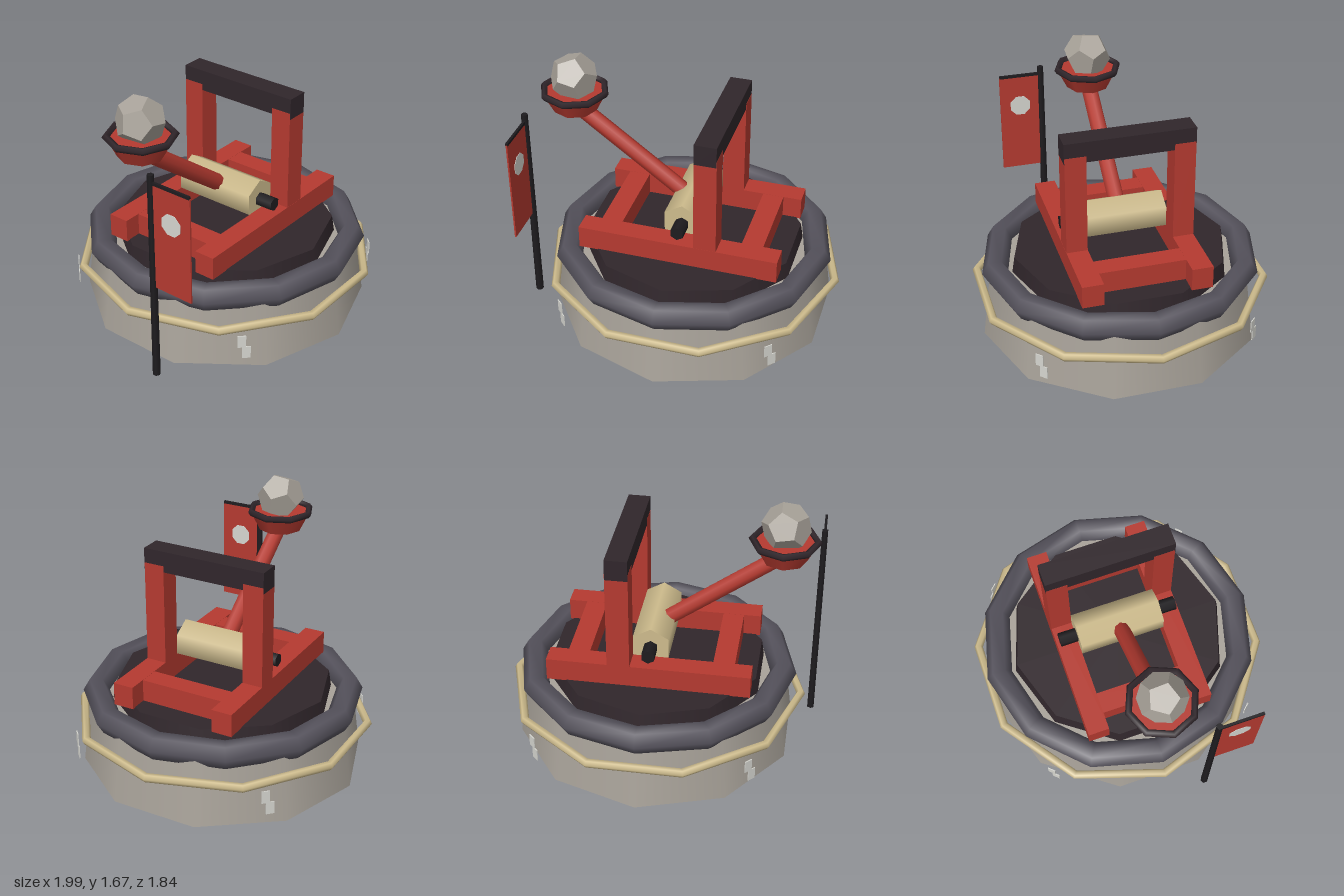
import * as THREE from 'three';

const mat = (color, extra = {}) => new THREE.MeshStandardMaterial({ color, ...extra });
const STONE = mat(0xa8a299), RUBBER = mat(0x55525c), DARK = mat(0x30262b), RED = mat(0xb53a30);
const GOLD = mat(0xcdbb8c), BLACK = mat(0x1e1c1f), PALE = mat(0xd6d6d0);
const ROCK = mat(0xa8a299, { flatShading: true });
const CX = 0.027; // centre of the round base and axle

export function createModel() {
  const model = new THREE.Group();

  const add = (name, geometry, material, x = 0, y = 0, z = 0) => {
    const mesh = new THREE.Mesh(geometry, material);
    mesh.name = name;
    mesh.position.set(x, y, z);
    model.add(mesh);
    return mesh;
  };
  // Box given by its minimum and maximum corners
  const box = (name, material, [x0, y0, z0], [x1, y1, z1]) =>
    add(name, new THREE.BoxGeometry(x1 - x0, y1 - y0, z1 - z0), material,
      (x0 + x1) / 2, (y0 + y1) / 2, (z0 + z1) / 2);
  const ring = (name, material, radius, tube, sides, segments, x, y) =>
    add(name, new THREE.TorusGeometry(radius, tube, sides, segments).rotateX(Math.PI / 2), material, x, y);

  // Round base with its bumper, hoop and turntable
  add('base', new THREE.CylinderGeometry(0.852, 0.91, 0.44, 10), STONE, CX, 0.22);
  ring('bumperRing', RUBBER, 0.816, 0.084, 6, 12, CX, 0.457);
  ring('hoop', GOLD, 0.937, 0.028, 6, 10, CX, 0.301);
  add('turntable', new THREE.CylinderGeometry(0.69, 0.71, 0.125, 10), DARK, CX, 0.4825);

  // Stepped clips below the hoop, one on each diagonal
  for (let i = 0; i < 4; i++) {
    const angle = Math.PI / 4 + i * Math.PI / 2;
    const clip = new THREE.Group();
    clip.name = 'clip';
    for (const s of [-1, 1]) {
      const half = new THREE.Mesh(new THREE.BoxGeometry(0.052, 0.082, 0.006), PALE);
      half.name = 'clipHalf';
      half.position.set(s * 0.014, -s * 0.039, 0);
      clip.add(half);
    }
    clip.position.set(CX + 0.958 * Math.sin(angle), 0.195, 0.958 * Math.cos(angle));
    clip.rotation.y = angle;
    model.add(clip);
  }

  // Frame: side rails, uprights and cross members
  for (const s of [-1, 1]) {
    const [z0, z1] = s > 0 ? [0.275, 0.41] : [-0.41, -0.275];
    box('sideRail', RED, [-0.61, 0.54, z0], [0.665, 0.688, z1]);
    box('upright', RED, [0.139, 0.68, z0], [0.281, 1.345, z1 - (s > 0 ? 0.001 : 0)]);
  }
  for (const x of [-0.5, 0.412]) box('crossMember', RED, [x, 0.54, -0.28], [x + 0.135, 0.687, 0.28]);
  box('topBeam', DARK, [0.14, 1.305, -0.411], [0.28, 1.44, 0.411]);

  // Hub and axle
  const along = (radius, length) => new THREE.CylinderGeometry(radius, radius, length, 6)
    .rotateY(Math.PI).rotateX(Math.PI / 2);
  add('hub', along(0.13, 0.55), GOLD, CX, 0.757);
  add('axle', along(0.045, 0.78), BLACK, CX, 0.757);

  // Throwing arm
  const from = new THREE.Vector3(CX, 0.757, 0), to = new THREE.Vector3(-0.74, 1.325, 0);
  const arm = add('throwingArm', new THREE.CylinderGeometry(0.053, 0.053, from.distanceTo(to), 8), RED);
  arm.position.lerpVectors(from, to, 0.5);
  arm.quaternion.setFromUnitVectors(new THREE.Vector3(0, 1, 0), to.clone().sub(from).normalize());

  // Bowl and its load
  add('bowl', new THREE.CylinderGeometry(0.2, 0.14, 0.12, 8), RED, -0.75, 1.365);
  ring('bowlRim', DARK, 0.2, 0.023, 5, 8, -0.75, 1.43);
  const rock = add('rock', new THREE.DodecahedronGeometry(0.153), ROCK, -0.75, 1.525);
  rock.rotation.set(0.35, 0.45, 0.15);

  // Flag on its pole
  add('flagPole', new THREE.CylinderGeometry(0.021, 0.025, 1.37, 6), BLACK, -0.978, 0.685, 0.27);
  box('flagBar', BLACK, [-0.986, 1.31, 0.27], [-0.97, 1.328, 0.55]);
  box('flag', RED, [-0.983, 0.635, 0.28], [-0.973, 1.315, 0.553]);
  add('flagDisc', new THREE.CylinderGeometry(0.072, 0.072, 0.016, 8)
    .rotateY(Math.PI / 8).rotateZ(Math.PI / 2), PALE, -0.978, 1.1, 0.417);

  return model;
}
